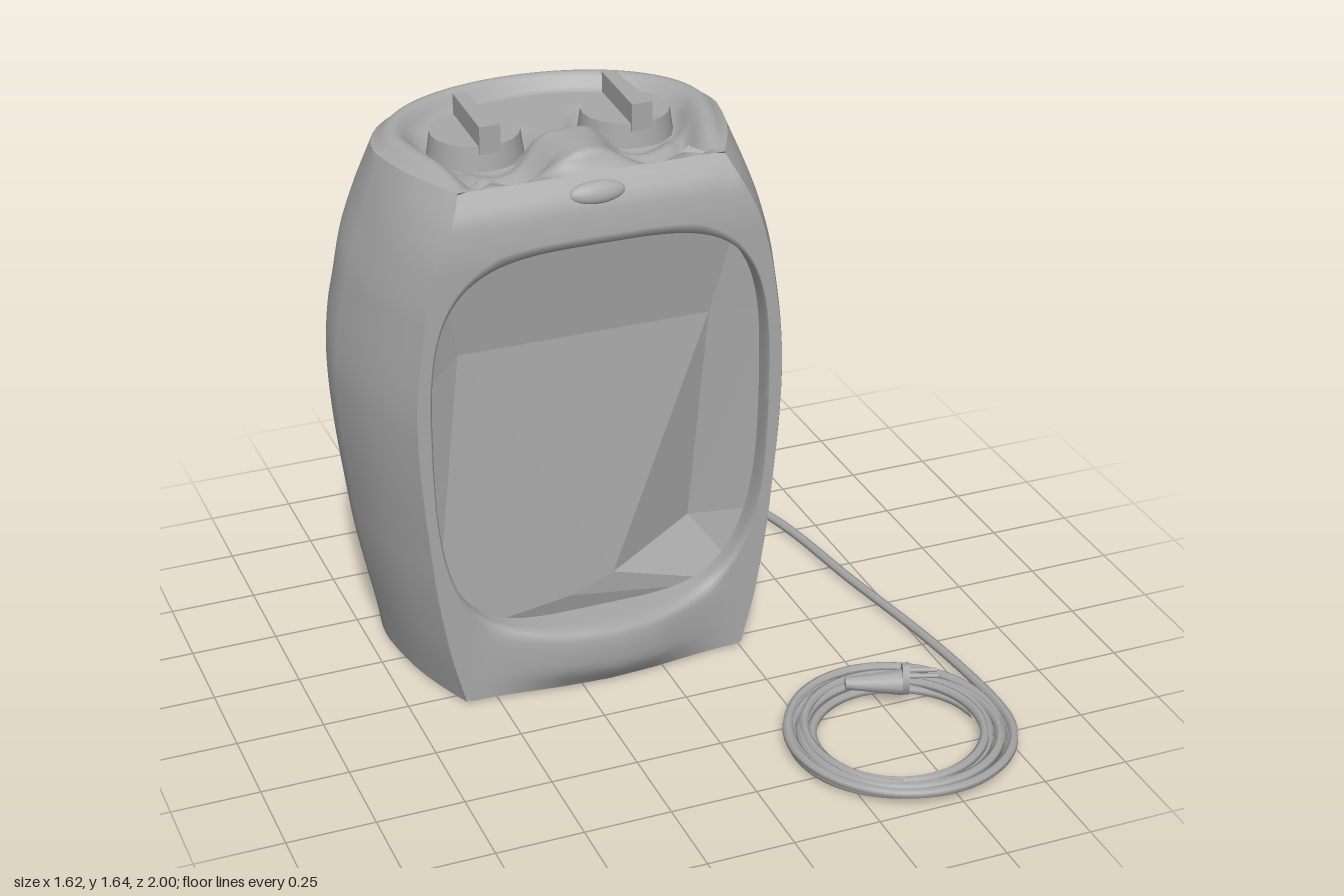
import * as THREE from 'three';
import { ParametricGeometry } from 'three/addons/geometries/ParametricGeometry.js';

const { smoothstep, lerp } = THREE.MathUtils;
const V = (x, y, z) => new THREE.Vector3(x, y, z);

// Smooth monotone lookup in a short [key, value] profile
function profile(table, y) {
  const slope = (i) => (table[i + 1][1] - table[i][1]) / (table[i + 1][0] - table[i][0]);
  const tangent = (i) => {
    if (i === 0 || i === table.length - 1) return slope(Math.max(0, i - 1));
    const a = slope(i - 1), b = slope(i);
    return a * b > 0 ? (2 * a * b) / (a + b) : 0;
  };
  for (let i = 1; i < table.length; i++) {
    const [y0, a] = table[i - 1], [y1, b] = table[i];
    if (y > y1) continue;
    const h = y1 - y0, t = Math.max(0, (y - y0) / h), s = 1 - t;
    return a * (1 + 2 * t) * s * s + b * t * t * (3 - 2 * t) + h * t * s * (tangent(i - 1) * s - tangent(i) * t);
  }
  return table[table.length - 1][1];
}
const TOP = 1.55, BASE = 0.01, SEAM = -0.35, CENTRE_X = -0.17;
const halfWidth = (y) => profile([[0, 0.525], [0.1, 0.545], [0.45, 0.61],
  [0.9, 0.65], [1.2, 0.61], [1.4, 0.55], [1.55, 0.5]], y);
const backZ = (y) => profile([[0, -0.78], [0.1, -0.82], [0.4, -0.87], [0.85, -0.925], [1.06, -0.945],
  [1.1, -0.93], [1.27, -0.8], [1.4, -0.79], [1.48, -0.765], [1.55, -0.71]], y);
const frontHalf = (y) => halfWidth(y) * profile([[0, 0.8], [0.2, 0.83], [0.9, 0.825], [1.35, 0.83], [1.55, 0.76]], y);
const backRoundness = (y) => profile([[0, 0.8], [0.12, 1], [1.1, 1], [1.3, 0.8], [1.5, 0.95]], y);

// Front face depth with the lower bulge
function frontZ(x, y) {
  const z = profile([[0, 0.055], [1.35, 0.055], [1.47, 0.04], [1.55, -0.01]], y);
  const lip = profile([[0, 0.3], [0.09, 0.95], [0.15, 1], [0.2, 0.92], [0.25, 0.25], [0.6, 0]], y);
  return z + 0.09 * lip * Math.cos(Math.min(1, Math.abs(x) / 0.42) * Math.PI / 2) ** 2;
}

// Cross-section from the +x front corner round the back to the -x one
function section(u, y) {
  const w = halfWidth(y), f = frontHalf(y);
  if (u < 0.2 || u > 0.8) {
    const k = (u < 0.5 ? u : 1 - u) / 0.2;
    const x = lerp(f, w, k) + 0.02 * Math.sin(k * Math.PI);
    return V(u < 0.5 ? x : -x, y, lerp(frontZ(f, y), SEAM, k));
  }
  const a = ((u - 0.2) / 0.6) * Math.PI;
  const s = Math.max(0, Math.sin(a)) ** backRoundness(y);
  return V(w * Math.cos(a), y, SEAM + (backZ(y) - SEAM) * s);
}
function ring(u, y) {
  if (u <= 0.8) return section(u / 0.8, y);
  const x = lerp(-1, 1, (u - 0.8) / 0.2) * frontHalf(y);
  return V(x, y, frontZ(x, y));
}

// Intake grille outline on the back
const GRILLE = { y: 0.61, rx: 0.475, ry: 0.485 };
function onBack(x, y, out = 0) {
  const s = x / halfWidth(y);
  const c = Math.sqrt(Math.max(0, 1 - s * s));
  return V(x + out * s, y, SEAM + (backZ(y) - SEAM) * c - out * c);
}

// Rounded front window
function windowEdge(t) {
  const p = (v, e) => Math.sign(v) * Math.abs(v) ** e;
  const up = Math.sin(t) > 0, e = up ? 0.54 : 0.45;
  const c = p(Math.cos(t), e), s = p(Math.sin(t), e);
  return up ? [0.495 * c, 0.8 + 0.57 * s] : [0.495 * c * (1 - 0.14 * s * s), 0.8 + 0.6 * s];
}
function frontEdge([x, y]) {
  let lo = 1, hi = 4;
  for (let i = 0; i < 24; i++) {
    const k = (lo + hi) / 2, px = x * k, py = 0.8 + (y - 0.8) * k;
    if (py > TOP || py < BASE || Math.abs(px) > frontHalf(py)) hi = k; else lo = k;
  }
  return [x * lo, 0.8 + (y - 0.8) * lo];
}

export function createModel() {
  const model = new THREE.Group();
  model.name = 'fanHeater';
  const grey = new THREE.MeshStandardMaterial({ color: 0xa8a8a8, side: THREE.DoubleSide });
  grey.name = 'grey plastic';
  const body = new THREE.Group();
  body.name = 'heaterBody';
  body.position.x = CENTRE_X;
  model.add(body);

  const add = (name, geometry, parent = body) => {
    const mesh = new THREE.Mesh(geometry, grey);
    mesh.name = name;
    parent.add(mesh);
    return mesh;
  };
  const surface = (name, fn, nu, nv) => {
    const g = new ParametricGeometry((u, v, target) => target.copy(fn(u, v)), nu, nv);
    g.computeVertexNormals();
    return add(name, g);
  };
  const tube = (name, points, r, segments, sides, parent = body, closed = false) =>
    add(name, new THREE.TubeGeometry(new THREE.CatmullRomCurve3(points, closed), segments, r, sides, closed), parent);

  // Side and back shell, with the grille recess, handle scoop and two side notches
  surface('shell', (u, v) => {
    const y = lerp(BASE, TOP, v), p = section(u, y);
    if (u > 0.2 && u < 0.8) {
      const d = Math.hypot(p.x / GRILLE.rx, (y - GRILLE.y) / GRILLE.ry);
      p.z += 0.08 * (1 - smoothstep(d, 0.9, 1));
      const h = Math.hypot(p.x / 0.23, (y - 1.31) / 0.1);
      if (p.z < -0.5) p.z += 0.12 * (1 - smoothstep(h, 0.6, 1));
      const n = Math.hypot(p.z + 0.6, y - 1.41);
      p.x *= 1 - 0.12 * (1 - smoothstep(n, 0.02, 0.055));
    }
    return p;
  }, 120, 80);

  // Front frame round the window, ending in a turned-in lip
  surface('frontFrame', (u, v) => {
    const inner = windowEdge(u * Math.PI * 2), outer = frontEdge(inner);
    const k = Math.min(1, v / 0.8);
    const x = lerp(outer[0], inner[0], k), y = lerp(outer[1], inner[1], k);
    return V(x, y, lerp(frontZ(x, y), -0.01, Math.max(0, (v - 0.8) / 0.2)));
  }, 140, 10);

  // Base plate
  surface('base', (u, v) => {
    const p = ring(u, BASE);
    return V(p.x * v, BASE, lerp(-0.37, p.z, v));
  }, 80, 2);

  // Control deck: raised wavy rim, dished centre and a bowl under each dial
  const DIAL_X = 0.22, DIAL_Z = -0.34;
  surface('controlDeck', (u, v) => {
    const p = ring(u, TOP), s = 1 - v;
    const x = p.x * s, z = lerp(-0.37, p.z, s);
    const f = smoothstep(z, -0.3, -0.05);
    const wave = Math.abs(x) < 0.3 ? 0.015 + 0.04 * Math.cos(x * Math.PI / 0.2) : -0.025 + 0.05 * smoothstep(Math.abs(x), 0.3, 0.4);
    const rim = lerp(0.033, wave, f) * smoothstep(v, 0, 0.1);
    const brow = (1 - smoothstep(Math.abs(x), 0.05, 0.16)) * smoothstep(z, -0.3, -0.2);
    const dish = 0.045 * smoothstep(v, 0.13, 0.26) * (1 - brow);
    const bowl = 0.025 * (1 - smoothstep(Math.hypot(Math.abs(x) - DIAL_X, z - DIAL_Z), 0.13, 0.18));
    return V(x, TOP + rim + 0.02 * brow * (1 - f) - dish - bowl, z);
  }, 100, 36);

  // Two dials with tapered grips
  for (const side of [-1, 1]) {
    const dial = new THREE.Group();
    dial.name = side < 0 ? 'rightDial' : 'leftDial';
    dial.position.set(side * DIAL_X, 0, DIAL_Z);
    body.add(dial);
    add('dialDisc', new THREE.CylinderGeometry(0.125, 0.135, 0.07, 20), dial).position.y = 1.545;
    const grip = new THREE.BoxGeometry(0.06, 0.08, 0.26);
    const pos = grip.attributes.position;
    for (let i = 0; i < pos.count; i++) if (pos.getZ(i) < 0) pos.setX(i, pos.getX(i) * 0.6);
    add('dialGrip', grip, dial).position.y = 1.6;
  }

  // Oval badge on the brow
  const badge = add('badge', new THREE.SphereGeometry(1, 24, 12));
  badge.scale.set(0.08, 0.032, 0.02);
  badge.position.set(0, 1.505, 0.02);
  badge.rotation.x = -0.5;

  // Faceted panel inside the window
  const panel = new THREE.BufferGeometry();
  panel.setAttribute('position', new THREE.Float32BufferAttribute([
    -0.38, 1.05, -0.06, 0.36, 1.05, -0.06, -0.08, 0.25, -0.01, 0.05, 0.3, -0.01, 0.32, 0.38, -0.11,
    -0.44, 1.4, -0.01, 0.44, 1.4, -0.01, 0.53, 1.05, -0.01, 0.52, 0.4, -0.04,
    0.48, 0.17, -0.02, -0.48, 0.17, -0.04, -0.53, 0.95, -0.01], 3));
  panel.setIndex([5, 0, 1, 5, 1, 6, 6, 1, 7, 1, 4, 7, 4, 8, 7, 1, 3, 4, 0, 2, 3, 0, 3, 1,
    2, 10, 9, 2, 9, 3, 3, 9, 4, 4, 9, 8, 0, 11, 10, 0, 10, 2, 5, 11, 0]);
  const facets = panel.toNonIndexed();
  facets.computeVertexNormals();
  add('innerPanel', facets);

  // Rear grille: deep slats, vertical ribs and an oval rim
  const steps = (n, fn) => Array.from({ length: n + 1 }, (_, i) => fn(i / n));
  const corners = [[0.01, -0.012], [0.01, 0.016], [-0.05, 0.008], [-0.05, -0.014], [0.01, -0.012]];
  for (let i = 0; i < 14; i++) {
    const k = (i + 0.5) / 14 * 2 - 1, w = GRILLE.rx * Math.sqrt(1 - k * k);
    const y = GRILLE.y + k * GRILLE.ry;
    surface('grilleSlat', (u, v) => {
      const [out, dy] = corners[Math.min(4, Math.round(v * 4))];
      const p = onBack(lerp(w, -w, u), y, out);
      p.y += dy;
      return p;
    }, 24, 4);
  }
  for (let i = 0; i < 5; i++) {
    const k = (i - 2) * 0.36, h = GRILLE.ry * Math.sqrt(1 - k * k);
    tube('grilleRib', steps(8, (t) => onBack(k * GRILLE.rx, GRILLE.y + lerp(-h, h, t), -0.002)), 0.015, 20, 5);
  }
  tube('grilleRim', steps(32, (t) => onBack(GRILLE.rx * Math.cos(t * 2 * Math.PI),
    GRILLE.y + GRILLE.ry * Math.sin(t * 2 * Math.PI), -0.008)).slice(0, -1), 0.016, 80, 6, body, true);

  // Cord collar
  const collar = add('cordCollar', new THREE.CylinderGeometry(0.025, 0.045, 0.09, 12));
  collar.rotation.x = -Math.PI / 2;
  collar.position.set(0.02, 0.08, -0.85);

  // Cord: runs round the side, then winds into a flat coil
  const path = [V(-0.15, 0.08, -0.86), V(-0.13, 0.06, -0.94), V(-0.06, 0.03, -0.975), V(0.1, 0.025, -0.975),
    V(0.29, 0.025, -0.985), V(0.4, 0.025, -0.91), V(0.6, 0.025, -0.63), V(0.7, 0.025, -0.1), V(0.77, 0.025, 0.33)];
  const TURNS = 7;
  for (let i = 0; i <= TURNS * 20; i++) {
    const t = i / (TURNS * 20), a = t * TURNS * 2 * Math.PI;
    const r = lerp(0.322, 0.235, t) + 0.01 * Math.sin(a * 1.3) * Math.min(1, t * 8);
    path.push(V(0.468 + r * Math.cos(a), 0.027 + 0.012 * Math.sin(a * 0.7), 0.66 + r * Math.sin(a)));
  }
  tube('cord', path, 0.014, 560, 6, model);

  // Plug lying inside the coil
  const plug = new THREE.Group();
  plug.name = 'plug';
  plug.position.set(0.5, 0.068, 0.48);
  plug.rotation.y = -0.35;
  model.add(plug);
  const along = (name, r0, r1, length, x, y = 0, z = 0) => {
    const m = add(name, new THREE.CylinderGeometry(r1, r0, length, 10), plug);
    m.rotation.z = -Math.PI / 2;
    m.position.set(x, y, z);
    return m;
  };
  along('plugGrip', 0.018, 0.038, 0.16, -0.02);
  along('plugFace', 0.05, 0.05, 0.02, 0.07, 0.012).scale.z = 0.7;
  for (const z of [-0.015, 0.015]) along('plugPin', 0.007, 0.007, 0.08, 0.12, 0.03, z);
  return model;
}
